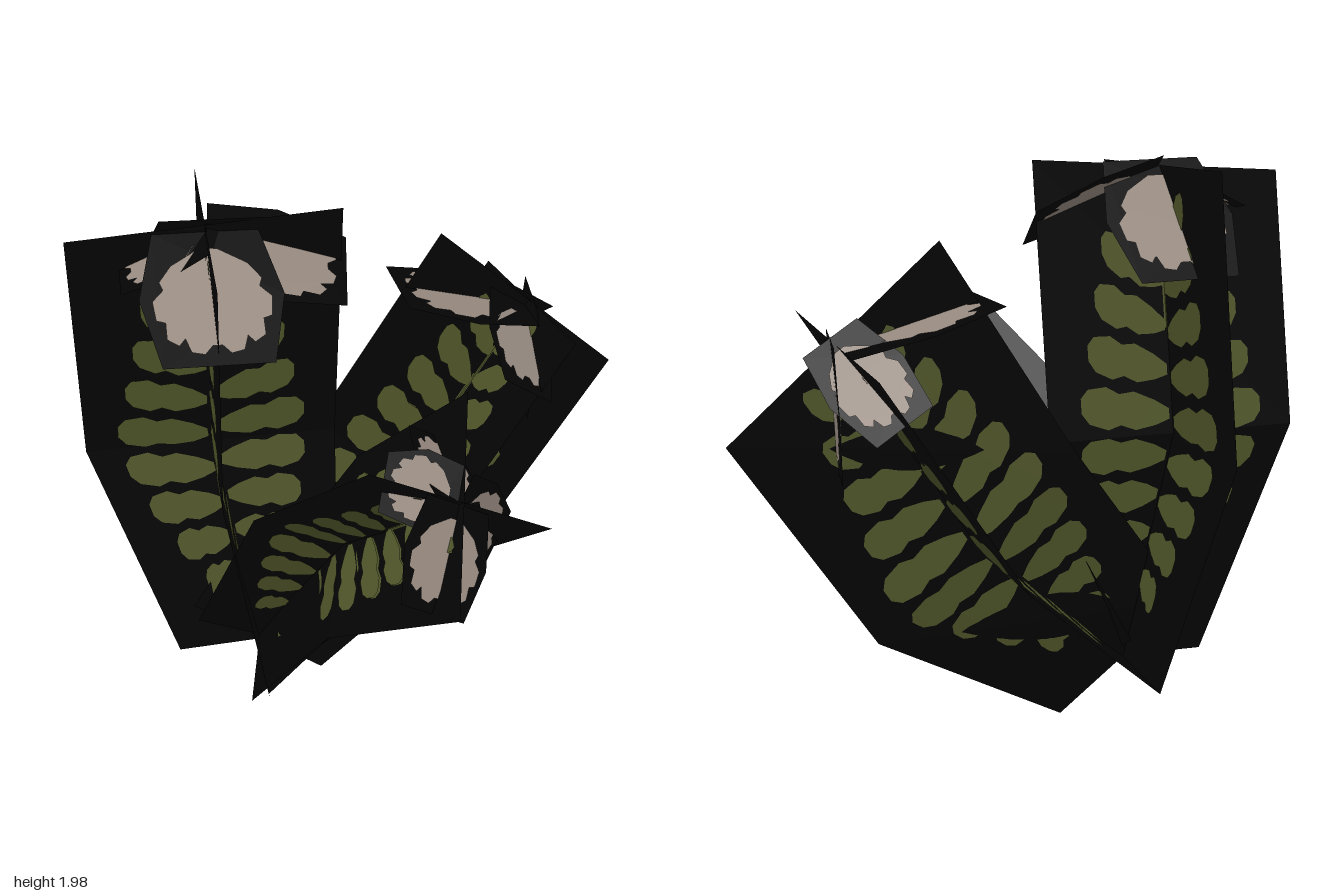
import * as THREE from 'three';
import { mergeGeometries } from 'three/addons/utils/BufferGeometryUtils.js';

const V = (a) => new THREE.Vector3(...a);
const mat = (name, color) => {
  const m = new THREE.MeshStandardMaterial({ color, side: THREE.DoubleSide });
  m.name = name;
  return m;
};

// Each stem: centre line at bottom, bend and top; half-width vectors of its two
// crossed cards at those rows; petals at +u, -u, +v, -v as
// [droop in degrees, width, length, sideways shift, roll in degrees].
const STEMS = [
  {
    name: 'tallFlower', scale: 1,
    centre: [[-0.42, 0.2, -0.19], [-0.54, 1.06, -0.31], [-0.515, 1.955, -0.165]],
    u: [[0.31, 0.01, 0], [0.45, 0, 0], [0.445, 0.025, 0]],
    v: [[0, 0, 0.34], [0, 0, 0.47], [0, -0.01, 0.475]],
    petals: [[19, 0.8, 0.97, 0.035, 22], [25, 0.6, 0.62, -0.03, 0], [17, 1, 1.04, 0, 0], [57, 1, 0.97, 0.025, 0]],
  },
  {
    name: 'frontFlower', scale: 0.75,
    centre: [[-0.42, 0.23, -0.18], [-0.13, 0.85, 0.12], [0.2, 1.25, 0.5]],
    u: [[0.23, -0.13, -0.03], [0.31, -0.17, -0.04], [0.31, -0.17, -0.04]],
    v: [[-0.06, -0.13, 0.23], [-0.1, -0.17, 0.29], [-0.08, -0.21, 0.32]],
    petals: [[28, 0.85, 0.95, 0, 25], [20, 0.75, 0.68, 0.03, -20], [15, 1, 0.95, 0, 0], [30, 0.75, 0.9, 0, 0]],
  },
  {
    name: 'leaningFlower', scale: 1,
    centre: [[-0.42, 0.2, -0.2], [0.19, 0.755, -0.395], [0.65, 1.465, -0.42]],
    u: [[0.24, -0.19, 0], [0.34, -0.295, -0.01], [0.34, -0.295, -0.02]],
    v: [[0, 0, 0.33], [0.04, 0.02, 0.425], [0.045, 0.035, 0.42]],
    petals: [[59, 0.95, 0.86, 0, 10], [18, 1, 1, 0, 0], [18, 0.62, 0.95, 0.06, 0], [40, 0.6, 0.8, 0, 0]],
  },
];

const LEAF_REACH = [0.4, 0.56, 0.68, 0.74, 0.74, 0.66, 0.58, 0.5, 0.4];
const LEAF_PROFILE = [[0.04, 0.01], [0.2, 0.024], [0.42, 0.036], [0.58, 0.029],
  [0.72, 0.04], [0.92, 0.032], [1, 0.014]];

// Strip of quads between two rows of points, flat shaded
function strip(a, b) {
  const pos = [];
  for (let i = 0; i < a.length - 1; i++) {
    for (const p of [a[i], b[i], b[i + 1], a[i], b[i + 1], a[i + 1]]) pos.push(p.x, p.y, p.z);
  }
  const g = new THREE.BufferGeometry();
  g.setAttribute('position', new THREE.Float32BufferAttribute(pos, 3));
  g.computeVertexNormals();
  return g;
}

// Maps (s across, t along, lift off the face) to a point on a bent card
function cardSurface(centre, half) {
  const c = centre.map(V), h = half.map(V);
  return (s, t, lift = 0, upper = t > 0.5) => {
    const i = upper ? 1 : 0, f = t * 2 - i;
    const n = c[i + 1].clone().sub(c[i]).cross(h[i + 1]).normalize();
    return c[i].clone().lerp(c[i + 1], f)
      .addScaledVector(h[i].clone().lerp(h[i + 1], f), s)
      .addScaledVector(n, lift);
  };
}

// Leaf pairs and the green tip of the stalk, laid on both faces of a card
function foliage(at) {
  const parts = [];
  for (const lift of [0.004, -0.004]) {
    LEAF_REACH.forEach((reach, i) => {
      for (const side of [-1, 1]) {
        const t0 = 0.19 + i * 0.083 + (side > 0 ? 0.015 : 0);
        const upper = t0 > 0.5;
        const fit = (t) => (upper ? Math.max(t, 0.5) : Math.min(t, 0.5));
        const edge = (sign) => LEAF_PROFILE.map(([f, w]) =>
          at(side * reach * f, fit(t0 + f * 0.16 * (t0 - 0.38) + sign * w), lift, upper));
        parts.push(strip(edge(1), edge(-1)));
      }
    });
    const stalk = (s) => [0.7, 0.94].map((t) => at(s, t, lift, true));
    parts.push(strip(stalk(-0.025), stalk(0.025)));
  }
  return mergeGeometries(parts);
}

// Symmetrical outline from [radius, half width] points
function outline(points, width, length) {
  const right = points.map(([r, q]) => new THREE.Vector2(q * width, r * length));
  const left = points.map(([r, q]) => new THREE.Vector2(-q * width, r * length)).reverse();
  return new THREE.ShapeGeometry(new THREE.Shape([...right, ...left]));
}

const PETAL_CARD = [[0, 0.17], [0.25, 0.225], [0.5, 0.17]];
const PETAL = [[0.07, 0.03], [0.13, 0.12], [0.19, 0.16], [0.22, 0.15], [0.26, 0.185], [0.33, 0.178],
  [0.34, 0.15], [0.4, 0.15], [0.425, 0.115], [0.4, 0.095], [0.45, 0.08], [0.46, 0.04], [0.43, 0.015]];

export function createModel() {
  const backing = mat('black backing', 0x040404);
  const leafGreen = mat('olive leaf', 0x50562a);
  const petalPale = mat('pale petal', 0x978a80);
  const model = new THREE.Group();
  model.name = 'flowers';

  for (const stem of STEMS) {
    const flower = new THREE.Group();
    flower.name = stem.name;
    model.add(flower);
    const add = (parent, name, geometry, material) => {
      const m = new THREE.Mesh(geometry, material);
      m.name = name;
      parent.add(m);
      return m;
    };

    // Crossed leaf cards
    for (const key of ['u', 'v']) {
      const at = cardSurface(stem.centre, stem[key]);
      const edge = (s) => [0, 0.5, 1].map((t) => at(s, t));
      add(flower, 'leafCard', strip(edge(-1), edge(1)), backing);
      add(flower, 'leaves', foliage(at), leafGreen);
    }

    // Four drooping petals around the stem tip
    const tip = V(stem.centre[2]);
    const axis = tip.clone().sub(V(stem.centre[1])).normalize();
    stem.petals.forEach(([droop, width, length, shift, roll], i) => {
      const out = V(stem[i < 2 ? 'u' : 'v'][2]).multiplyScalar(i % 2 ? -1 : 1);
      out.addScaledVector(axis, -out.dot(axis)).normalize();
      const a = THREE.MathUtils.degToRad(droop);
      const dir = out.multiplyScalar(Math.cos(a)).addScaledVector(axis, -Math.sin(a));
      const side = dir.clone().cross(axis).normalize();
      const normal = side.clone().cross(dir);

      const petal = new THREE.Group();
      petal.name = 'petal';
      petal.quaternion.setFromRotationMatrix(new THREE.Matrix4().makeBasis(side, dir, normal));
      petal.rotateY(THREE.MathUtils.degToRad(roll));
      petal.position.copy(tip).addScaledVector(axis, droop > 35 ? 0.02 : -0.025)
        .addScaledVector(side, shift);
      flower.add(petal);
      const size = [width * stem.scale, length * stem.scale];
      add(petal, 'petalCard', outline(PETAL_CARD, ...size), backing);
      for (const z of [0.004, -0.004]) {
        add(petal, 'petalFace', outline(PETAL, ...size), petalPale).position.z = z;
      }
    });
  }
  return model;
}
